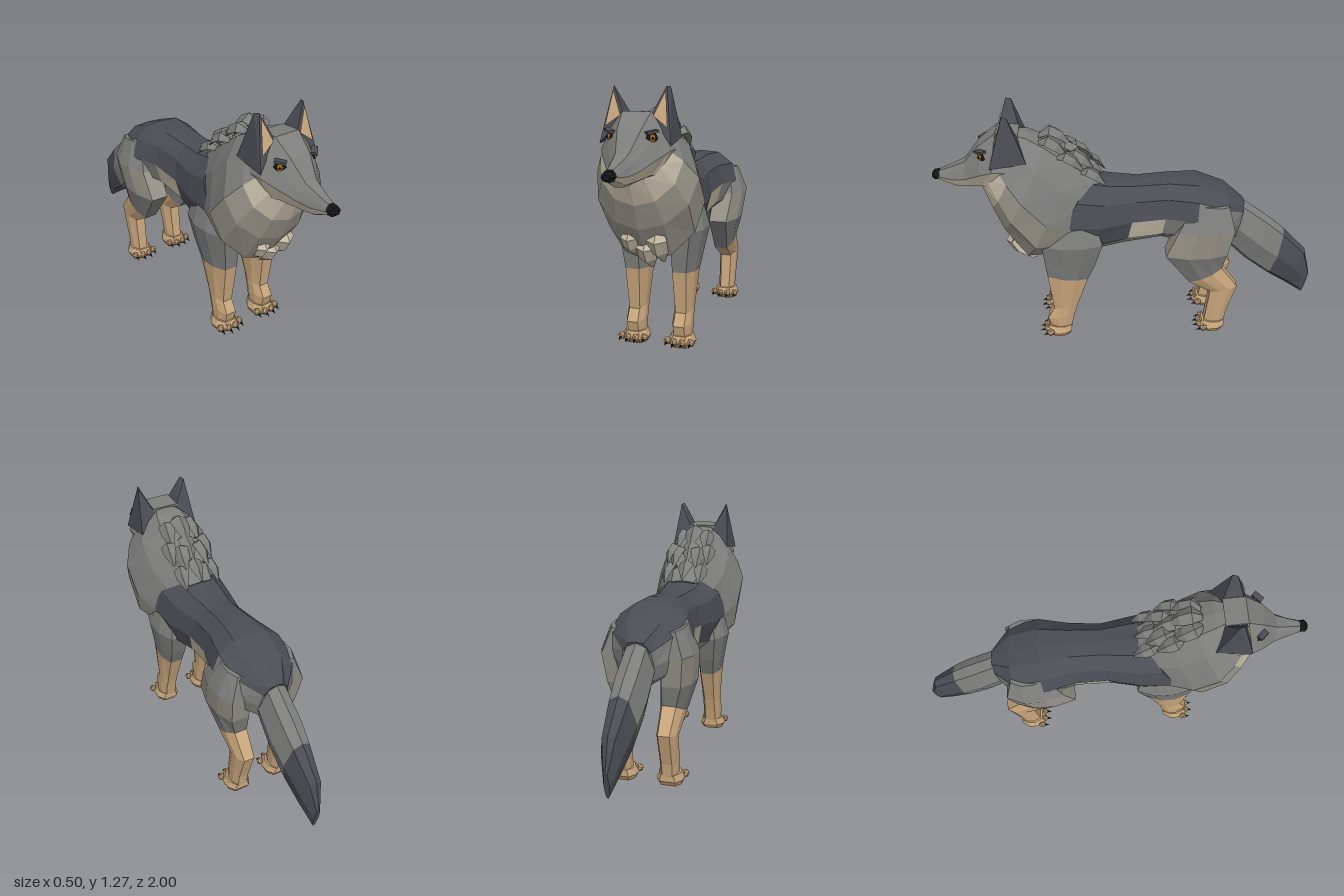
import * as THREE from 'three';
import { ConvexGeometry } from 'three/addons/geometries/ConvexGeometry.js';

const DARK = 0x4c4c55, GREY = 0x7d7d7c, WARM = 0x99958a, CREAM = 0xc2b8a4, TAN = 0xc8a67c, BLACK = 0x161618, AMBER = 0xd08a1c;

const mat = (color) => new THREE.MeshStandardMaterial({ color, flatShading: true });

function addMesh(parent, name, geometry, color) {
  const m = new THREE.Mesh(geometry, mat(color));
  m.name = name;
  parent.add(m);
  return m;
}

// Half cross-sections as [width fraction, height fraction], mirrored in x by loft()
const TORSO = [[0, 1], [0.45, 0.98], [0.85, 0.8], [1, 0.5], [0.85, 0.2], [0.4, 0.02], [0, 0]];
const RUFF = [[0, 1], [0.35, 0.98], [0.72, 0.8], [1, 0.5], [0.88, 0.25], [0.48, 0.06], [0, 0]];
const HEAD = [[0.42, 1], [0.75, 0.75], [1, 0.45], [0.72, 0.12], [0.3, 0]];
const LIMB = [[0.6, 1], [1, 0.65], [1, 0.3], [0.6, 0]];
const TAIL = [[0, 1], [0.6, 0.92], [1, 0.5], [0.6, 0.1], [0, 0]];
const SHARD = [[0, 1], [1, 0.4], [0, 0]];

// Skin rings [zTop, yTop, zBottom, yBottom, halfWidth, centreX];
// color(band, height) picks a colour per face, one mesh per colour
function loft(parent, name, half, rings, color) {
  const full = half.concat(half.filter((p) => p[0] > 0).reverse().map(([u, v]) => [-u, v]));
  const n = full.length;
  const pts = rings.map(([zt, yt, zb, yb, w, cx = 0]) =>
    full.map(([u, v]) => [cx + u * w, yb + (yt - yb) * v, zb + (zt - zb) * v]));
  const mid = (ring) => [0, 1, 2].map((k) => ring.reduce((s, p) => s + p[k], 0) / n);
  const byColor = new Map();
  const tri = (c, ...corners) => {
    if (!byColor.has(c)) byColor.set(c, []);
    corners.forEach((p) => byColor.get(c).push(...p));
  };
  const last = rings.length - 1, start = mid(pts[0]), end = mid(pts[last]);
  for (let j = 0; j < n; j++) {
    const k = (j + 1) % n, v = (full[j][1] + full[k][1]) / 2;
    for (let i = 0; i < last; i++) {
      const c = color(i, v);
      tri(c, pts[i][j], pts[i][k], pts[i + 1][j]);
      tri(c, pts[i][k], pts[i + 1][k], pts[i + 1][j]);
    }
    tri(color(-1, v), start, pts[0][k], pts[0][j]);
    tri(color(last, v), end, pts[last][j], pts[last][k]);
  }
  const group = new THREE.Group();
  group.name = name;
  for (const [c, data] of byColor) {
    const g = new THREE.BufferGeometry();
    g.setAttribute('position', new THREE.Float32BufferAttribute(data, 3));
    g.computeVertexNormals();
    addMesh(group, name + 'Surface', g, c);
  }
  parent.add(group);
  return group;
}

// Curved tuft of fur
function tuft(parent, name, pos, size, rot, color) {
  const g = loft(parent, name, SHARD, [
    [0, 0, 0, -0.03, 0.015], [-0.04, 0.045, -0.04, 0, 0.042],
    [-0.1, 0.03, -0.09, -0.01, 0.038], [-0.16, -0.03, -0.16, -0.035, 0.006],
  ], () => color);
  g.position.set(...pos);
  g.rotation.set(...rot);
  g.scale.setScalar(size);
}

// Paw with four clawed toes
function paw(parent, x, z) {
  const g = loft(parent, 'paw', LIMB, [
    [0.44, 0, 0.34, 0, 0.055], [0.46, 0.025, 0.325, 0.025, 0.066],
    [0.445, 0.06, 0.325, 0.06, 0.052],
  ], (i) => (i < 0 ? BLACK : TAN));
  [-0.06, -0.021, 0.021, 0.06].forEach((tx) => {
    const tz = Math.abs(tx) > 0.04 ? 0.44 : 0.457;
    const toe = addMesh(g, 'toe', new THREE.IcosahedronGeometry(0.02, 0), TAN);
    toe.position.set(tx, 0.032, tz);
    toe.scale.set(0.95, 1.1, 1.1);
    const claw = addMesh(g, 'claw', new THREE.ConeGeometry(0.009, 0.03, 4), BLACK);
    claw.position.set(tx, 0.023, tz + 0.027);
    claw.rotation.x = Math.PI / 2 + 0.3;
  });
  g.position.set(x, 0, z);
}

export function createModel() {
  const model = new THREE.Group();
  model.name = 'wolf';

  // Torso with dark saddle and pale flanks
  loft(model, 'torso', TORSO, [
    [0.22, 0.9, 0.48, 0.5, 0.2], [0.1, 0.876, 0.24, 0.48, 0.185],
    [-0.04, 0.866, 0.03, 0.52, 0.15], [-0.2, 0.876, -0.15, 0.55, 0.16],
    [-0.35, 0.87, -0.32, 0.55, 0.2], [-0.5, 0.81, -0.47, 0.53, 0.19],
    [-0.6, 0.735, -0.55, 0.5, 0.08],
  ], (i, v) => (v > [0.3, 0.3, 0.6, 0.6, 0.8, 0.8, 0.8][Math.max(i, 0)] ? DARK : i > 2 ? GREY : v < 0.2 ? WARM : CREAM));

  // Thick ruff around neck and chest
  loft(model, 'ruff', RUFF, [
    [0.57, 1.15, 0.76, 0.87, 0.13], [0.51, 1.145, 0.71, 0.75, 0.2],
    [0.42, 1.1, 0.66, 0.63, 0.25], [0.3, 1.01, 0.55, 0.46, 0.245],
    [0.15, 0.895, 0.42, 0.46, 0.185],
  ], (i, v) => (v > 0.5 ? GREY : i < 1 ? CREAM : WARM));

  // Head, snout and nose
  loft(model, 'head', HEAD, [
    [0.97, 0.945, 0.97, 0.9, 0.028], [0.9, 0.97, 0.88, 0.862, 0.05],
    [0.83, 1.0, 0.82, 0.862, 0.075], [0.75, 1.095, 0.74, 0.87, 0.132],
    [0.66, 1.165, 0.7, 0.86, 0.162], [0.55, 1.155, 0.6, 0.87, 0.165],
  ], (i, v) => (v > 0.5 ? GREY : CREAM));
  loft(model, 'nose', HEAD, [
    [0.998, 0.932, 1.0, 0.912, 0.016], [0.985, 0.946, 0.985, 0.9, 0.032],
    [0.955, 0.95, 0.96, 0.9, 0.03],
  ], () => BLACK);

  // Tail with dark tip
  loft(model, 'tail', TAIL, [
    [-0.5, 0.8, -0.47, 0.55, 0.06], [-0.58, 0.745, -0.52, 0.48, 0.08],
    [-0.75, 0.62, -0.63, 0.37, 0.085], [-0.83, 0.55, -0.76, 0.27, 0.075],
    [-0.96, 0.415, -0.87, 0.2, 0.052], [-1.0, 0.26, -0.97, 0.13, 0.014],
  ], (i) => (i > 2 ? DARK : GREY));

  for (const s of [1, -1]) {
    const V = (x, y, z) => new THREE.Vector3(s * x, y, z);

    // Ear shell and tan inner ear
    const a = V(0.125, 1.275, 0.615), b = V(0.065, 1.15, 0.655), c = V(0.168, 1.02, 0.69);
    addMesh(model, 'ear', new ConvexGeometry([a, b, c, V(0.135, 1.27, 0.59), V(0.16, 1.04, 0.51), V(0.06, 1.13, 0.55)]), DARK);
    const blend = (p, q, r) => V(0, 0, 0.006).addScaledVector(a, p).addScaledVector(b, q).addScaledVector(c, r);
    const inner = new THREE.BufferGeometry().setFromPoints([blend(0.9, 0.05, 0.05), blend(0.06, 0.86, 0.08), blend(0.25, 0.1, 0.65)]);
    inner.computeVertexNormals();
    addMesh(model, 'innerEar', inner, TAN).material.side = THREE.DoubleSide;

    // Eye: dark rim, amber iris, pupil and brow
    const eye = new THREE.Group();
    eye.name = 'eye';
    eye.position.copy(V(0.097, 1.058, 0.733));
    eye.rotation.y = s * 0.8;
    [[0.03, 0.024, 0.01, BLACK, 'eyeRim'], [0.02, 0.02, 0.016, AMBER, 'iris'], [0.008, 0.011, 0.02, BLACK, 'pupil']]
      .forEach(([x, y, z, col, name]) => addMesh(eye, name, new THREE.SphereGeometry(1, 6, 4), col).scale.set(x, y, z));
    const brow = addMesh(eye, 'brow', new THREE.BoxGeometry(0.055, 0.012, 0.03), DARK);
    brow.position.set(0, 0.026, 0.003);
    brow.rotation.z = s * 0.15;
    model.add(eye);

    // Front leg
    const f = s * 0.12;
    loft(model, 'frontLeg', LIMB, [
      [0.435, 0.05, 0.325, 0.05, 0.045, f], [0.45, 0.11, 0.31, 0.12, 0.047, f],
      [0.415, 0.17, 0.29, 0.19, 0.045, f], [0.44, 0.38, 0.23, 0.36, 0.058, f],
      [0.45, 0.47, 0.19, 0.45, 0.068, s * 0.125], [0.46, 0.58, 0.15, 0.58, 0.085, s * 0.13],
      [0.38, 0.75, 0.2, 0.75, 0.07, s * 0.1],
    ], (i) => (i < 3 ? TAN : GREY));
    paw(model, f, 0);

    // Hind leg with hock and thigh
    loft(model, 'hindLeg', LIMB, [
      [-0.4, 0.05, -0.51, 0.05, 0.042, f], [-0.41, 0.12, -0.52, 0.12, 0.044, f],
      [-0.425, 0.25, -0.57, 0.28, 0.048, f], [-0.31, 0.32, -0.48, 0.4, 0.058, f],
      [-0.18, 0.5, -0.5, 0.5, 0.08, s * 0.135], [-0.24, 0.65, -0.53, 0.65, 0.085, s * 0.148],
      [-0.32, 0.79, -0.5, 0.77, 0.06, s * 0.12],
    ], (i) => (i < 3 ? TAN : i === 4 ? WARM : GREY));
    paw(model, f, -0.835);

    // Paired fur tufts down the nape
    [[0.05, 1.12, 0.45, 1], [0.085, 1.05, 0.36, 0.9], [0.035, 1.04, 0.32, 1], [0.07, 0.96, 0.25, 0.9]].forEach(([x, y, z, k]) =>
      tuft(model, 'napeTuft', [s * x, y, z], k, [-0.35, -s * 0.25, -s * 0.4], GREY));
  }

  // Centre nape tufts and chest tufts
  [[1.135, 0.45, 1.1], [1.06, 0.37, 1], [0.97, 0.27, 0.9]].forEach(([y, z, k]) =>
    tuft(model, 'napeTuft', [0, y, z], k, [-0.25, 0, 0], GREY));
  [[-0.065, 0.62, 0.61, 1], [0.07, 0.63, 0.61, 1.25], [0.01, 0.58, 0.59, 1.15]].forEach(([x, y, z, k]) =>
    tuft(model, 'chestTuft', [x, y, z], k, [Math.PI / 2 - 0.3, 0, Math.PI, 'ZXY'], CREAM));

  return model;
}
